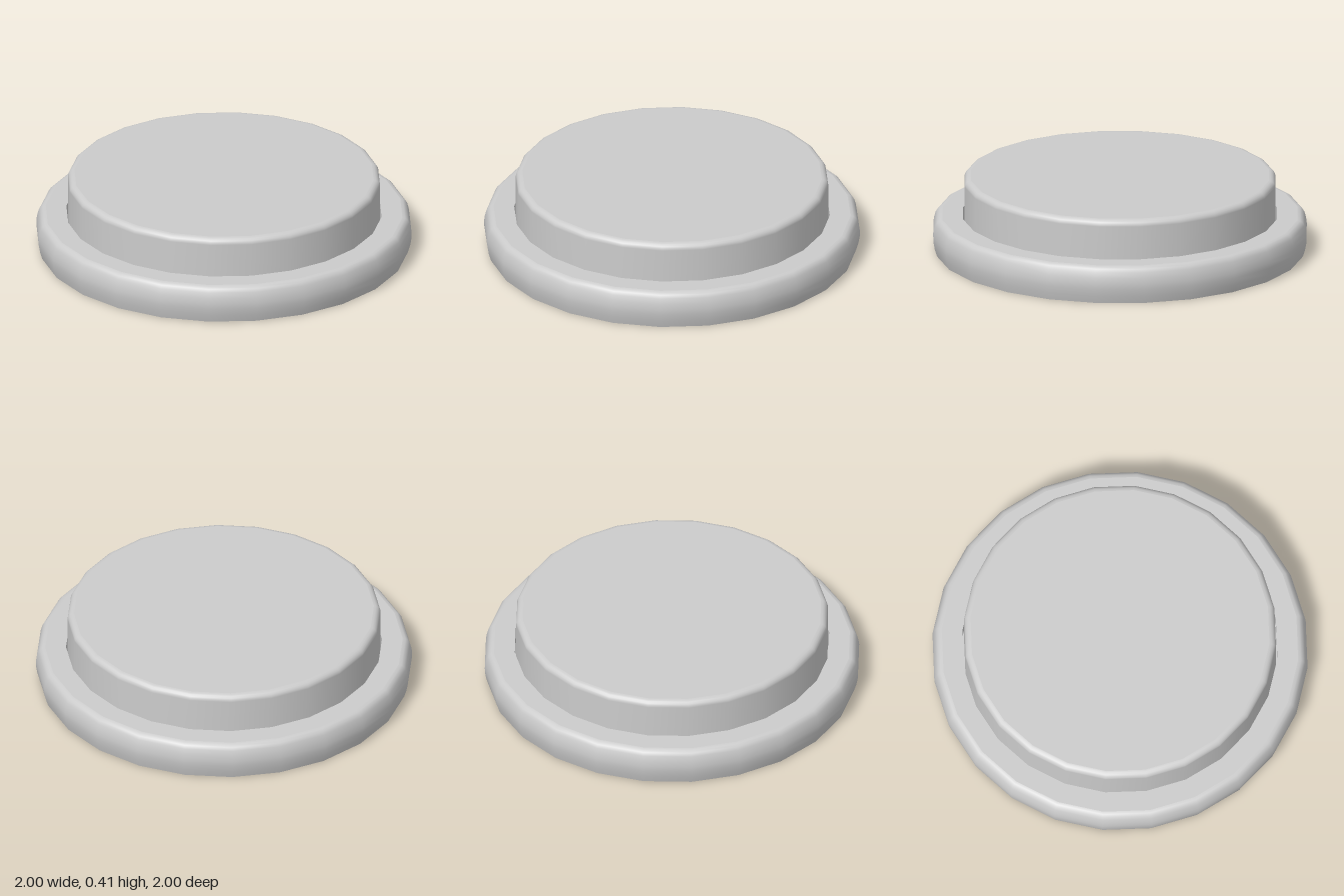
import * as THREE from 'three';
import { mergeGeometries } from 'three/addons/utils/BufferGeometryUtils.js';

const SIDES = 24;

// Turns a part from profile sections; normals are smooth within a section and sharp between them.
function turnedPart(name, sections, material) {
  const lathes = sections.map((points) =>
    new THREE.LatheGeometry(points.map(([r, y]) => new THREE.Vector2(r, y)), SIDES));
  const mesh = new THREE.Mesh(mergeGeometries(lathes), material);
  mesh.name = name;
  return mesh;
}

// Quarter-round edge ending at the top height.
function roundedEdge(radius, top, bevel, steps = 5) {
  return Array.from({ length: steps + 1 }, (_, i) => {
    const a = (i / steps) * Math.PI / 2;
    return [radius - bevel + bevel * Math.cos(a), top - bevel + bevel * Math.sin(a)];
  });
}

export function createModel() {
  const group = new THREE.Group();
  group.name = 'roundButton';
  const material = new THREE.MeshStandardMaterial({ color: 0xcccccc });

  // Bulging base ring with a shallow recess that holds the cap
  group.add(turnedPart('baseRing', [
    [[0, 0], [0.98, 0]],
    [[0.98, 0], [0.992, 0.04], [0.999, 0.08], [1, 0.11], [0.996, 0.14],
      [0.988, 0.17], [0.978, 0.187], [0.965, 0.197], [0.95, 0.2]],
    [[0.95, 0.2], [0.84, 0.2]],
    [[0.84, 0.2], [0.84, 0.1]],
    [[0.84, 0.1], [0, 0.1]],
  ], material));

  // Raised cap with a rounded upper edge
  const edge = roundedEdge(0.832, 0.413, 0.035);
  group.add(turnedPart('cap', [
    [[0.832, 0.1], ...edge],
    [edge[edge.length - 1], [0, 0.413]],
  ], material));

  return group;
}
